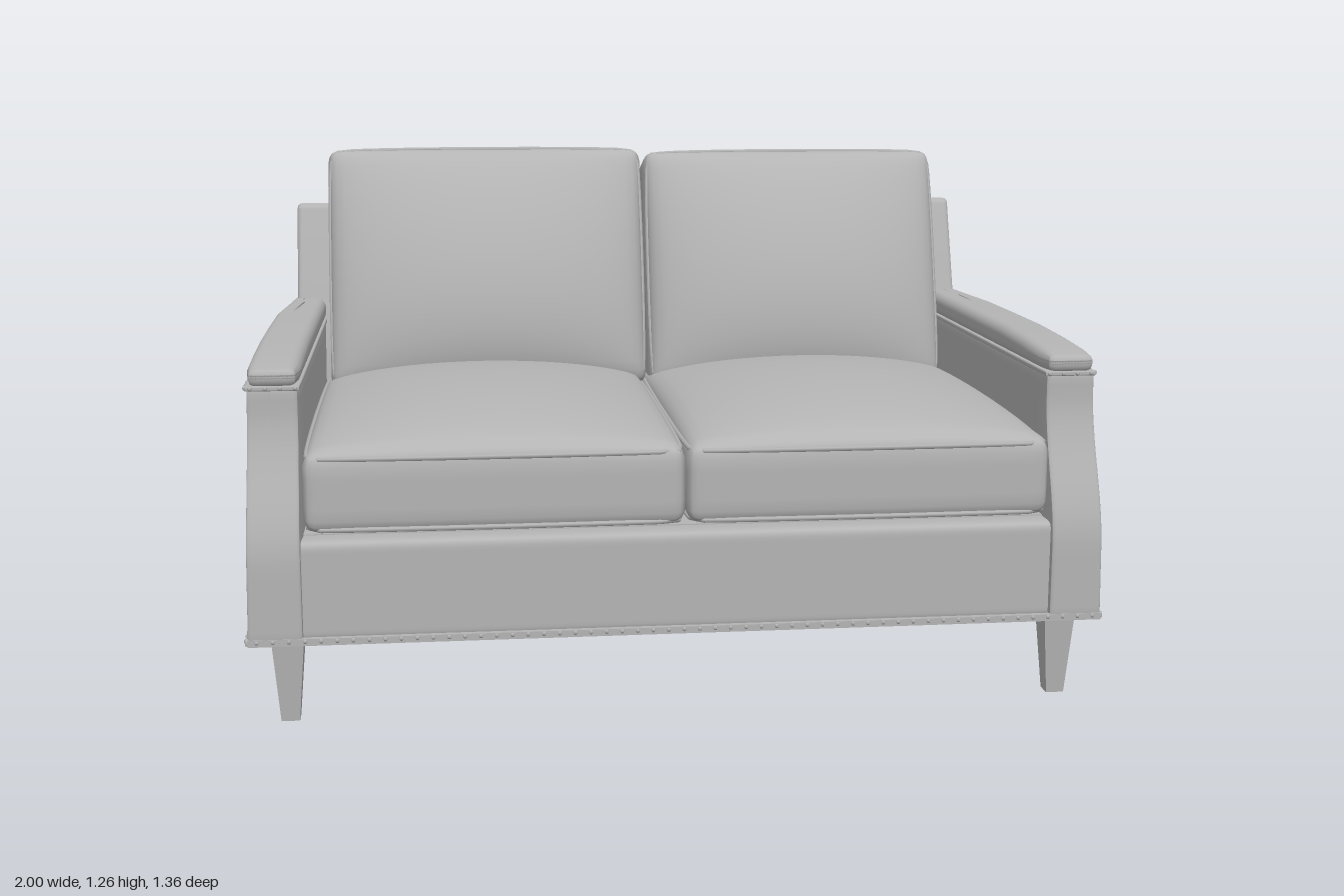
import * as THREE from 'three';
import { mergeVertices, mergeGeometries, toCreasedNormals } from 'three/addons/utils/BufferGeometryUtils.js';

const fabric = new THREE.MeshStandardMaterial({ color: 0xb4b4b4 });
fabric.name = 'greyFabric';
const { smoothstep, lerp } = THREE.MathUtils;

function add(parent, name, geometry) {
  const mesh = new THREE.Mesh(geometry, fabric);
  mesh.name = name;
  parent.add(mesh);
  return mesh;
}

// Moves every vertex by a rule and refreshes the normals
function reshape(geo, rule) {
  const p = geo.attributes.position, v = new THREE.Vector3();
  for (let i = 0; i < p.count; i++) {
    rule(v.fromBufferAttribute(p, i));
    p.setXYZ(i, v.x, v.y, v.z);
  }
  geo.computeVertexNormals();
  return geo;
}

// Box with soft edges and an optional crowned +z face
function softBox(w, h, d, r, crown = 0, lowBulge = 0) {
  const geo = new THREE.BoxGeometry(2, 2, 2, 24, 24, 8);
  geo.deleteAttribute('uv');
  geo.deleteAttribute('normal');
  const half = new THREE.Vector3(w / 2, h / 2, d / 2);
  const limit = half.clone().subScalar(r), low = limit.clone().negate();
  const inner = new THREE.Vector3();
  const spread = (t) => Math.sign(t) * (1 - Math.pow(1 - Math.abs(t), 1.6));
  return reshape(mergeVertices(geo, 1e-4), (v) => {
    v.set(spread(v.x), spread(v.y), spread(v.z)).multiply(half);
    inner.copy(v).clamp(low, limit);
    v.sub(inner);
    if (v.lengthSq() > 0) v.setLength(r);
    v.add(inner);
    const a = v.x / half.x, b = v.y / half.y, c = v.z / half.z;
    const dome = Math.pow(Math.max(0, 1 - a * a), 0.6) * Math.pow(Math.max(0, 1 - b * b), 0.6);
    if (c > 0) v.z += crown * c * dome * (1 - lowBulge * b);
  });
}

// Welt cord around a rounded rectangle at height z
function pipingGeometry(w, h, z, r) {
  const x = w / 2, y = h / 2, k = 0.03, pts = [];
  for (const [cx, cy, start] of [[x - k, y - k, 0], [-x + k, y - k, 1], [-x + k, -y + k, 2], [x - k, -y + k, 3]])
    for (let i = 0; i <= 3; i++) {
      const t = (start + i / 3) * Math.PI / 2;
      pts.push(new THREE.Vector3(cx + k * Math.cos(t), cy + k * Math.sin(t), z));
    }
  return new THREE.TubeGeometry(new THREE.CatmullRomCurve3(pts, true, 'centripetal'), 80, r, 6, true);
}

function cushion(name, w, h, d, crown, lowBulge) {
  const g = new THREE.Group();
  g.name = name;
  add(g, 'cushionBody', softBox(w, h, d, 0.035, crown, lowBulge));
  for (const s of [-1, 1])
    add(g, 'cushionPiping', pipingGeometry(w - 0.02, h - 0.02, s * (d / 2 - 0.01), 0.006));
  return g;
}

// Row of nail heads between two points
function nailRow(a, b) {
  const n = Math.round(a.distanceTo(b) / 0.036), out = [];
  for (let i = 0; i <= n; i++) {
    const q = a.clone().lerp(b, i / n);
    out.push(new THREE.SphereGeometry(0.006, 6, 4).translate(q.x, q.y, q.z));
  }
  return mergeGeometries(out);
}

export function createModel() {
  const sofa = new THREE.Group();
  sofa.name = 'loveseat';
  const V = (x, y, z) => new THREE.Vector3(x, y, z);

  // Seat base: front rail and platform with a closed underside
  add(sofa, 'frontRail', softBox(1.76, 0.235, 0.13, 0.02)).position.set(0, 0.315, 0.597);
  add(sofa, 'seatPlatform', new THREE.BoxGeometry(1.78, 0.22, 1.1)).position.set(0, 0.325, 0.05);

  // Raked back panel, slightly narrower at the top
  const back = new THREE.Shape();
  back.moveTo(0.5, 0.2);
  back.lineTo(0.57, 0.2);
  back.lineTo(0.676, 1.065);
  back.quadraticCurveTo(0.677, 1.08, 0.665, 1.083);
  back.lineTo(0.61, 1.093);
  back.quadraticCurveTo(0.595, 1.094, 0.589, 1.075);
  back.lineTo(0.505, 0.83);
  back.lineTo(0.45, 0.6);
  back.closePath();
  const bevel = 0.014;
  const backGeo = new THREE.ExtrudeGeometry(back, {
    depth: 2 - 2 * bevel, bevelThickness: bevel, bevelSize: bevel, bevelOffset: -bevel,
    bevelSegments: 3, curveSegments: 8 });
  backGeo.translate(0, 0, bevel - 1).rotateY(Math.PI / 2);
  reshape(backGeo, (v) => { v.x *= 0.965 - 0.025 * smoothstep(v.y, 0.2, 0.9); });
  add(sofa, 'backPanel', toCreasedNormals(backGeo, 0.7));

  for (const s of [-1, 1]) {
    const side = new THREE.Group();
    side.name = s > 0 ? 'leftArm' : 'rightArm';
    sofa.add(side);

    // Outer side draws in towards the back
    const drawIn = (v) => { if (v.x * s > 0.925) v.x -= s * 0.028 * smoothstep(-v.z, 0.15, 0.62); };

    // Arm panel with scooped front edge and raked rear edge
    add(side, 'armPanel', reshape(softBox(0.13, 0.58, 1.25, 0.014), (v) => {
      const y = v.y + 0.487, up = (y - 0.197) / 0.58;
      const front = 0.677 - 0.083 * smoothstep(y, 0.38, 0.72);
      const rear = -0.562 - 0.063 * up;
      const outer = v.x * s > 0 ? 0.01 * up : 0;
      v.set(v.x + s * (0.929 - outer), y, lerp(rear, front, v.z / 1.25 + 0.5));
      drawIn(v);
    }));

    // Padded arm cap, lower at the front
    add(side, 'armCap', reshape(softBox(0.12, 0.066, 1.215, 0.026), (v) => {
      v.x += s * 0.923;
      v.z -= 0.008;
      if (v.y > 0) v.y -= 0.014 * smoothstep(v.z, 0.25, 0.6);
      v.y += 0.803;
      drawIn(v);
    }));

    // Welt and nail heads below the cap
    add(side, 'armWelt', reshape(softBox(0.124, 0.014, 1.22, 0.005), (v) => {
      v.add(V(s * 0.923, 0.772, -0.012));
      drawIn(v);
    }));
    add(side, 'armNails', reshape(nailRow(V(s * 0.984, 0.772, 0.585), V(s * 0.984, 0.772, -0.61)), drawIn));
    add(side, 'armFrontNails', nailRow(V(s * 0.872, 0.772, 0.597), V(s * 0.972, 0.772, 0.597)));

    // Base trim along the side
    add(side, 'sideTrim', reshape(softBox(0.012, 0.016, 1.235, 0.005), (v) => {
      v.add(V(s * 0.992, 0.204, 0.055));
      drawIn(v);
    }));
    add(side, 'sideNails', reshape(nailRow(V(s * 0.994, 0.206, 0.66), V(s * 0.994, 0.206, -0.55)), drawIn));

    // Tapered square legs
    for (const [name, z] of [['frontLeg', 0.6], ['backLeg', -0.515]]) {
      const leg = new THREE.CylinderGeometry(0.038 * Math.SQRT2, 0.021 * Math.SQRT2, 0.21, 4).rotateY(Math.PI / 4);
      add(sofa, name, toCreasedNormals(leg, 0.5)).position.set(s * 0.905, 0.105, z);
    }
  }

  // Base trim across front and back
  for (const [name, z, half] of [['front', 0.672, 0.99], ['back', -0.569, 0.965]]) {
    add(sofa, name + 'Trim', new THREE.BoxGeometry(half * 2, 0.016, 0.014)).position.set(0, 0.204, z);
    const e = z + Math.sign(z) * 0.005;
    add(sofa, name + 'Nails', nailRow(V(0.02 - half, 0.206, e), V(half - 0.02, 0.206, e)));
  }

  // Seat and back cushions
  for (const [label, x, w, bx, bw, by] of [
    ['right', -0.427, 0.866, -0.413, 0.856, 0.915],
    ['left', 0.434, 0.852, 0.43, 0.812, 0.905]]) {
    const seat = cushion(label + 'SeatCushion', w, 1.11, 0.182, 0.087, 0);
    seat.rotation.x = -Math.PI / 2;
    seat.position.set(x, 0.539, 0.115);
    const rest = cushion(label + 'BackCushion', bw, 0.66, 0.185, 0.108, 0.2);
    rest.rotation.x = -0.28;
    rest.position.set(bx, by, -0.419);
    sofa.add(seat, rest);
  }
  return sofa;
}
